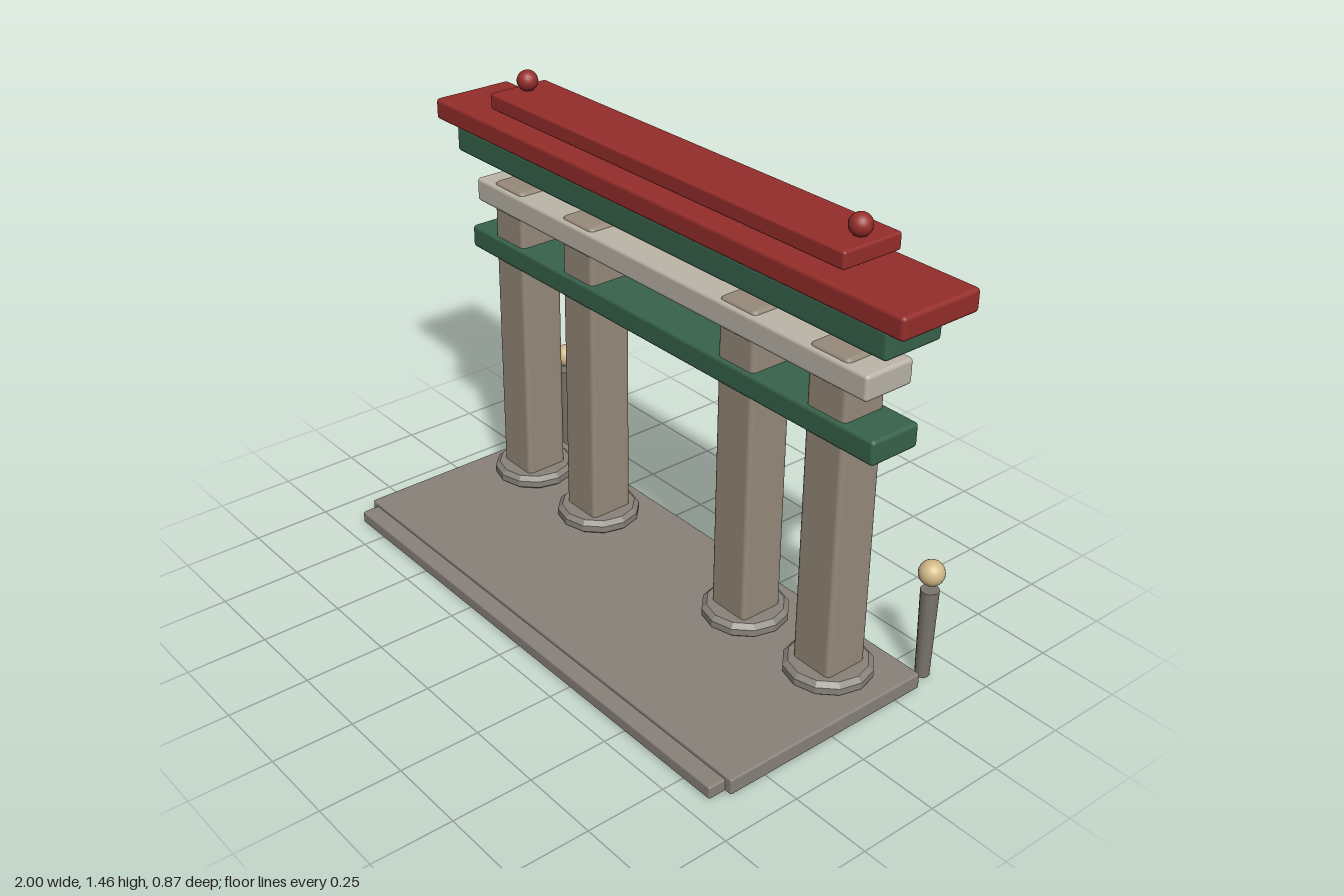
import * as THREE from 'three';
import { RoundedBoxGeometry } from 'three/addons/geometries/RoundedBoxGeometry.js';

const RED = 0x962e2b, GREEN = 0x37634b, COLUMN = 0x968a7a, PALE = 0xbbb5a9;
const STONE = 0x88827a, POST = 0x7a756d, GOLD = 0xd2ba88, FLOOR = 0x8f8562;
const GATE_Z = -0.15;

export function createModel() {
  const model = new THREE.Group();
  model.name = 'gate';

  const add = (name, geometry, color, x, y, z, flatShading = false) => {
    const material = new THREE.MeshStandardMaterial({ color, flatShading });
    const mesh = new THREE.Mesh(geometry, material);
    mesh.name = name;
    mesh.position.set(x, y, z);
    model.add(mesh);
    return mesh;
  };

  // Soft-edged block given by its half width and its y and z ranges
  const block = (name, color, halfX, y0, y1, z0, z1, radius = 0.012, x = 0) =>
    add(name, new RoundedBoxGeometry(halfX * 2, y1 - y0, z1 - z0, 2, radius),
      color, x, (y0 + y1) / 2, (z0 + z1) / 2);

  // Platform, front step and underside panel
  block('platform', STONE, 0.886, 0.005, 0.056, -0.34, 0.38, 0.006);
  block('frontStep', STONE, 0.862, 0.004, 0.044, 0.3, 0.435, 0.006);
  add('undersidePanel', new THREE.BoxGeometry(0.82, 0.012, 0.33), FLOOR, 0, 0.006, -0.04);

  // Round footing with bevelled rims
  const footing = new THREE.LatheGeometry([
    [0, 0], [0.118, 0], [0.133, 0.012], [0.133, 0.033], [0.118, 0.047], [0, 0.047],
  ].map(([r, y]) => new THREE.Vector2(r, y)), 12);

  // Two pairs of columns on footings
  for (const x of [-0.705, -0.355, 0.355, 0.705]) {
    add('columnFooting', footing, STONE, x, 0.053, GATE_Z, true);
    block('column', COLUMN, 0.073, 0.06, 1.105, GATE_Z - 0.074, GATE_Z + 0.074, 0.016, x);
  }

  // Cross beams, from low to high
  block('lowerBeam', GREEN, 0.892, 0.845, 0.92, -0.235, -0.065);
  block('middleBeam', PALE, 0.856, 1.016, 1.094, -0.235, -0.065);
  block('upperBeam', GREEN, 0.927, 1.167, 1.252, -0.25, -0.046);

  // Roof slab and ridge
  block('roof', RED, 1, 1.258, 1.326, -0.295, -0.02);
  block('ridge', RED, 0.755, 1.348, 1.4, -0.267, -0.06, 0.008);

  // Mirrored ridge knobs and rear lantern posts
  const knob = new THREE.SphereGeometry(0.033, 20, 14);
  const post = new THREE.CylinderGeometry(0.028, 0.022, 0.295, 12);
  const globe = new THREE.SphereGeometry(0.039, 20, 14);
  for (const side of [-1, 1]) {
    add('ridgeKnob', knob, RED, side * 0.705, 1.43, -0.165);
    add('lanternPost', post, POST, side * 0.846, 0.1525, -0.396);
    add('lanternGlobe', globe, GOLD, side * 0.846, 0.356, -0.397);
  }

  return model;
}
